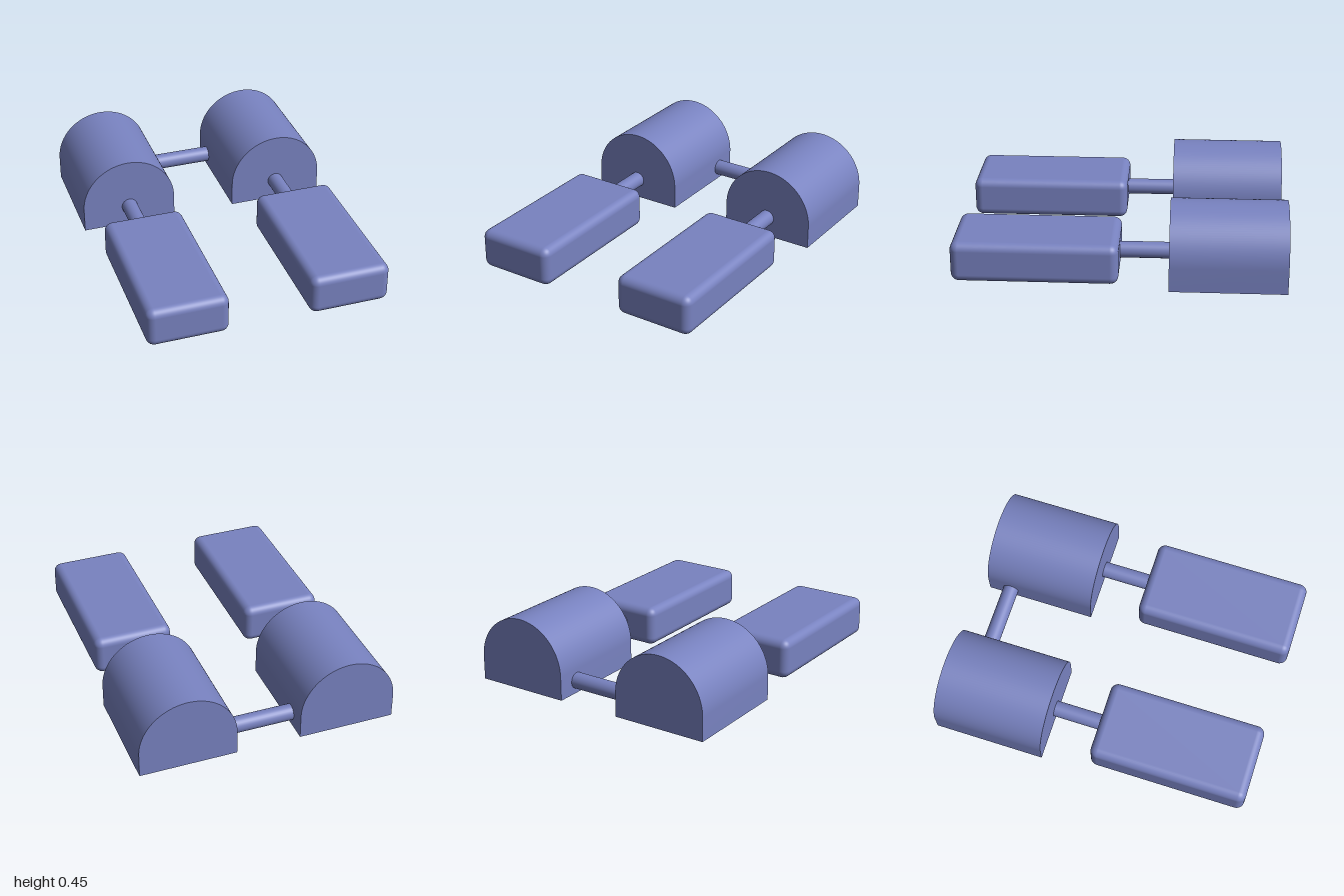
import * as THREE from 'three';
import { toCreasedNormals } from 'three/addons/utils/BufferGeometryUtils.js';
import { RoundedBoxGeometry } from 'three/addons/geometries/RoundedBoxGeometry.js';

export function createModel() {
  const model = new THREE.Group();
  const material = new THREE.MeshStandardMaterial({ color: 0x7882c0 });

  const add = (name, geometry, x, y, z) => {
    const mesh = new THREE.Mesh(geometry, material);
    mesh.name = name;
    mesh.position.set(x, y, z);
    model.add(mesh);
    return mesh;
  };

  // Arched housing: straight walls under a half-round roof
  const arch = new THREE.Shape();
  arch.moveTo(-0.3, 0);
  arch.lineTo(0.3, 0);
  arch.lineTo(0.3, 0.15);
  arch.absarc(0, 0.15, 0.3, 0, Math.PI, false);
  arch.closePath();
  const housing = toCreasedNormals(
    new THREE.ExtrudeGeometry(arch, { depth: 0.7, bevelEnabled: false, curveSegments: 32 }), 0.5);

  // Rounded front block and the rod joining it to the housing
  const block = new RoundedBoxGeometry(0.5, 0.25, 1, 5, 0.05);
  const rod = new THREE.CylinderGeometry(0.05, 0.05, 0.3, 32);

  for (const [side, x] of [['left', 0.5], ['right', -0.5]]) {
    add(side + 'ArchedHousing', housing, x, 0, -1);
    add(side + 'FrontBlock', block, x, 0.125, 0.5);
    add(side + 'ConnectingRod', rod, x, 0.13, -0.15).rotation.x = Math.PI / 2;
  }

  // Crossbar between the two housings
  add('crossbar', new THREE.CylinderGeometry(0.05, 0.05, 0.4, 32), 0, 0.08, -0.85).rotation.z = Math.PI / 2;

  return model;
}
